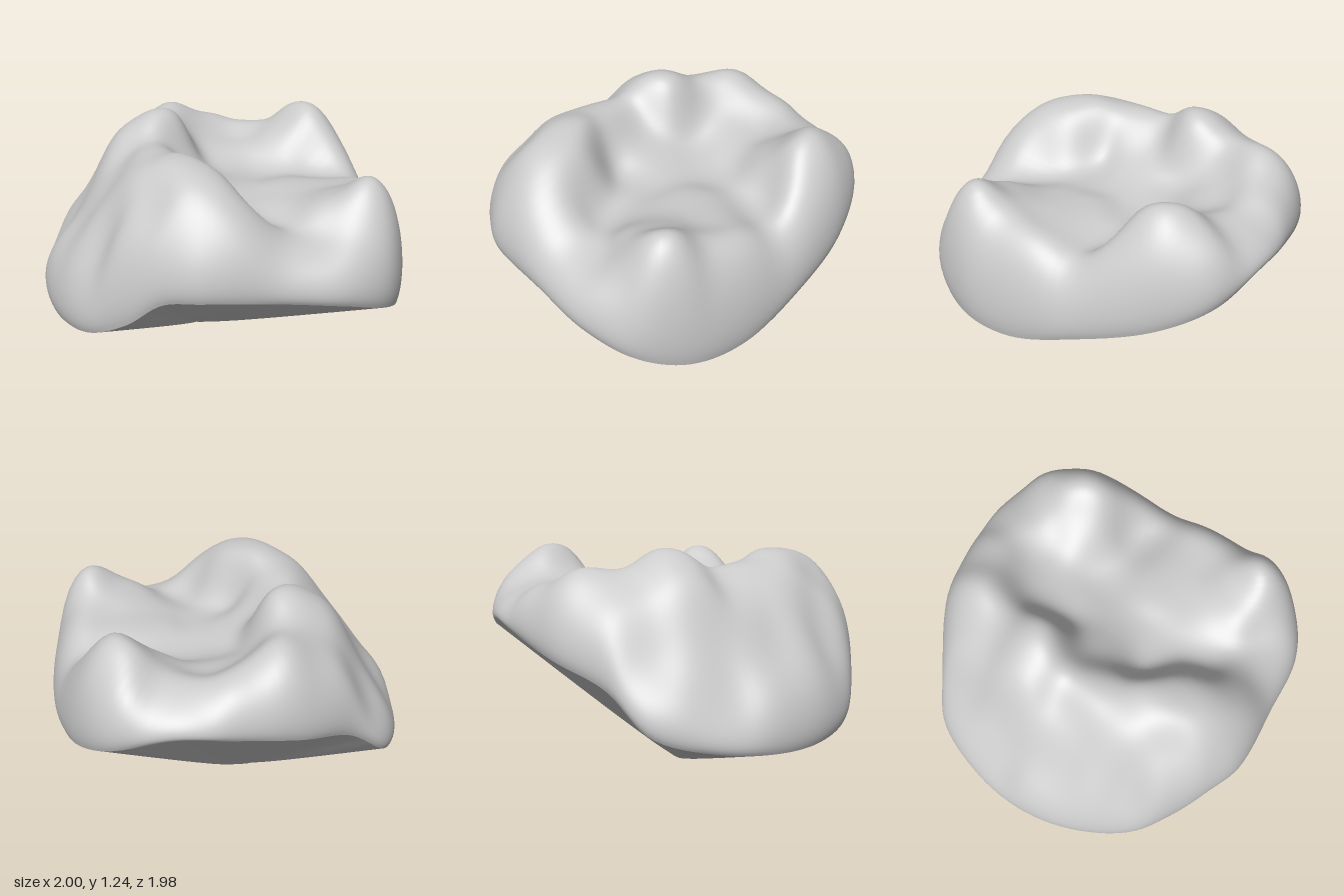
import * as THREE from 'three';

const SEGMENTS = 144;

// Margin loop: x, height, z, running from the left side round the front
const margin = new THREE.CatmullRomCurve3([
  [0.98, 0.34, 0], [1.01, 0.35, 0.33], [0.93, 0.43, 0.6], [0.72, 0.52, 0.79],
  [0.38, 0.57, 0.9], [0, 0.6, 1.0], [-0.2, 0.57, 0.97], [-0.4, 0.42, 0.91],
  [-0.62, 0.31, 0.8], [-0.83, 0.27, 0.57], [-0.97, 0.28, 0.28], [-1.01, 0.32, -0.05],
  [-0.95, 0.41, -0.38], [-0.75, 0.61, -0.57], [-0.5, 0.71, -0.79], [-0.15, 0.78, -0.94],
  [0.12, 0.8, -1.0], [0.44, 0.7, -0.97], [0.66, 0.58, -0.77], [0.85, 0.45, -0.4],
].map(p => new THREE.Vector3(...p)), true);
const rim = Array.from({ length: SEGMENTS }, (_, j) => margin.getPoint(j / SEGMENTS));

// Chewing surface relief: x, z, height of each cusp, slope and groove
const relief = [
  // right-hand cusps with the grooves between them
  [-0.36, -0.18, 1.265], [-0.58, -0.1, 1.17], [-0.8, -0.07, 0.82], [-0.95, 0, 0.52],
  [-0.42, -0.4, 1.14], [-0.62, -0.36, 1.05], [-0.84, -0.33, 0.7],
  [-0.37, -0.58, 1.23], [-0.58, -0.56, 1.06], [-0.2, -0.72, 1.08],
  [-0.6, 0.2, 1.0], [-0.8, 0.25, 0.7], [-0.33, 0.2, 1.15],
  [-0.16, 0.54, 1.2], [-0.4, 0.48, 1.14], [-0.6, 0.48, 0.94], [-0.35, 0.75, 1.03],
  [-0.77, 0.45, 0.67], [-0.62, 0.67, 0.68], [0, 0.78, 1.17], [0.02, 0.57, 1.15],
  // front ridge falling into the left cusp
  [0, 0.96, 0.98], [0.2, 0.75, 1.04], [0.4, 0.75, 0.84], [0.56, 0.73, 0.81], [0.78, 0.64, 0.88],
  [0.84, 0.41, 1.19], [0.6, 0.35, 0.96], [0.4, 0.27, 0.88],
  // central basin
  [0.27, 0.47, 0.81], [0.1, 0.25, 0.85], [0.03, 0, 0.85], [-0.12, 0.05, 0.98],
  [0.86, 0.1, 0.98], [0.88, -0.1, 0.97], [0.6, 0, 0.9], [0.4, -0.03, 0.89],
  [0.84, -0.3, 0.83], [0.52, -0.27, 0.82], [0.22, -0.25, 0.83], [-0.03, -0.27, 0.87],
  // back cusp and back ridge
  [0.46, -0.62, 1.26], [0.65, -0.56, 1.1], [0.77, -0.47, 0.95], [0.45, -0.83, 1.12],
  [0.3, -0.5, 1.01], [0.12, -0.78, 1.03], [0.02, -0.52, 0.93], [-0.15, -0.45, 0.98], [0.12, -0.94, 0.96],
];

// Smooth blend of the relief points
function heightAt(x, z) {
  let sum = 0, total = 0;
  for (const [px, pz, h] of relief) {
    const d2 = (x - px) ** 2 + (z - pz) ** 2;
    const w = Math.exp(-d2 / 0.025) + 1e-7;
    sum += w * h;
    total += w;
  }
  return sum / total;
}

// Closed surface of rings running from the margin in to a pole
function ringSurface(name, rings, pointAt, facesUp) {
  const positions = [], index = [];
  for (let i = 0; i <= rings; i++) {
    for (let j = 0; j < SEGMENTS; j++) {
      positions.push(...pointAt(i / rings, rim[j]));
      if (i === rings) continue;
      const k = (j + 1) % SEGMENTS;
      const a = i * SEGMENTS + j, b = i * SEGMENTS + k;
      const c = a + SEGMENTS, d = b + SEGMENTS;
      if (facesUp) index.push(a, c, b, b, c, d);
      else index.push(a, b, c, b, d, c);
    }
  }
  const geometry = new THREE.BufferGeometry();
  geometry.setAttribute('position', new THREE.Float32BufferAttribute(positions, 3));
  geometry.setIndex(index);
  geometry.computeVertexNormals();
  const mesh = new THREE.Mesh(geometry, new THREE.MeshStandardMaterial({ color: 0xcccccc }));
  mesh.name = name;
  return mesh;
}

// Outer wall curving over into the cusps
function crownPoint(u, p) {
  const rho = Math.cos(Math.min(u, 0.999) * Math.PI / 2);
  const wall = Math.sqrt(1 - rho ** 8);
  const x = p.x * rho, z = p.z * rho;
  const tuck = 1 - 0.025 * Math.exp(-u * 25);
  return [x * tuck, p.y + (heightAt(x, z) - p.y) * wall, z * tuck];
}

// Shallow underside tapering to a rounded low point
function undersidePoint(u, p) {
  const t = 1 - u * 0.999;
  const x = p.x * 0.975, z = p.z * 0.975;
  return [-0.13 + (x + 0.13) * t, p.y * 1.09 * t * t / (t + 0.09), z * t];
}

export function createModel() {
  const group = new THREE.Group();
  group.name = 'toothCrown';
  group.add(
    ringSurface('chewingSurface', 80, crownPoint, true),
    ringSurface('underside', 24, undersidePoint, false),
  );
  return group;
}
